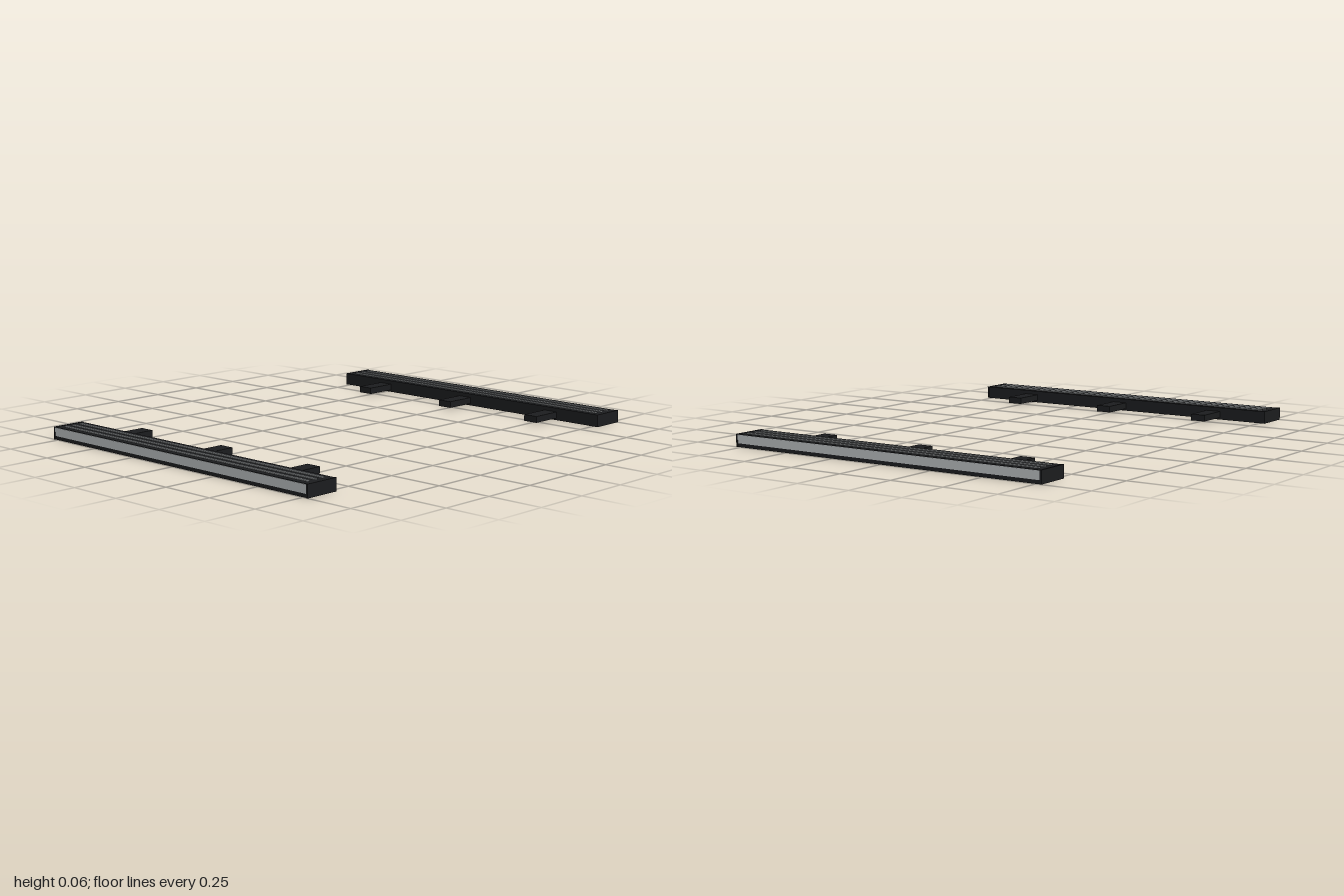
import * as THREE from 'three';

const dark = new THREE.MeshStandardMaterial({ color: 0x1c1d1f });
const metal = new THREE.MeshStandardMaterial({ color: 0xb4b8ba });

// Box given by its min and max extents on each axis
function box(name, material, [x0, x1], [y0, y1], [z0, z1]) {
  const mesh = new THREE.Mesh(new THREE.BoxGeometry(x1 - x0, y1 - y0, z1 - z0), material);
  mesh.name = name;
  mesh.position.set((x0 + x1) / 2, (y0 + y1) / 2, (z0 + z1) / 2);
  return mesh;
}

// One running board on the +x side
function createBoard() {
  const board = new THREE.Group();
  board.add(box('stepBoard', dark, [0.845, 0.997], [0, 0.055], [-0.768, 0.768]));

  // Bright trim along the outer edge
  board.add(box('sideTrim', metal, [0.99, 0.999], [0.016, 0.053], [-0.768, 0.768]));

  // End caps
  for (const s of [-1, 1]) {
    const z = [0.768 * s, 0.776 * s].sort((a, b) => a - b);
    board.add(box('endCap', dark, [0.843, 1], [0, 0.056], z));
  }

  // Raised grip strips on the tread
  for (const x of [0.88, 0.921, 0.962]) {
    board.add(box('gripStrip', metal, [x - 0.006, x + 0.006], [0.05, 0.059], [-0.742, 0.742]));
  }

  // Mounting brackets reaching inward
  for (const z of [-0.51, 0, 0.51]) {
    board.add(box('mountBracket', dark, [0.697, 0.86], [0.009, 0.038], [z - 0.035, z + 0.035]));
  }
  return board;
}

export function createModel() {
  const model = new THREE.Group();
  model.name = 'runningBoards';
  const left = createBoard();
  left.name = 'leftRunningBoard';
  const right = createBoard();
  right.name = 'rightRunningBoard';
  right.rotation.y = Math.PI;
  model.add(left, right);
  return model;
}
